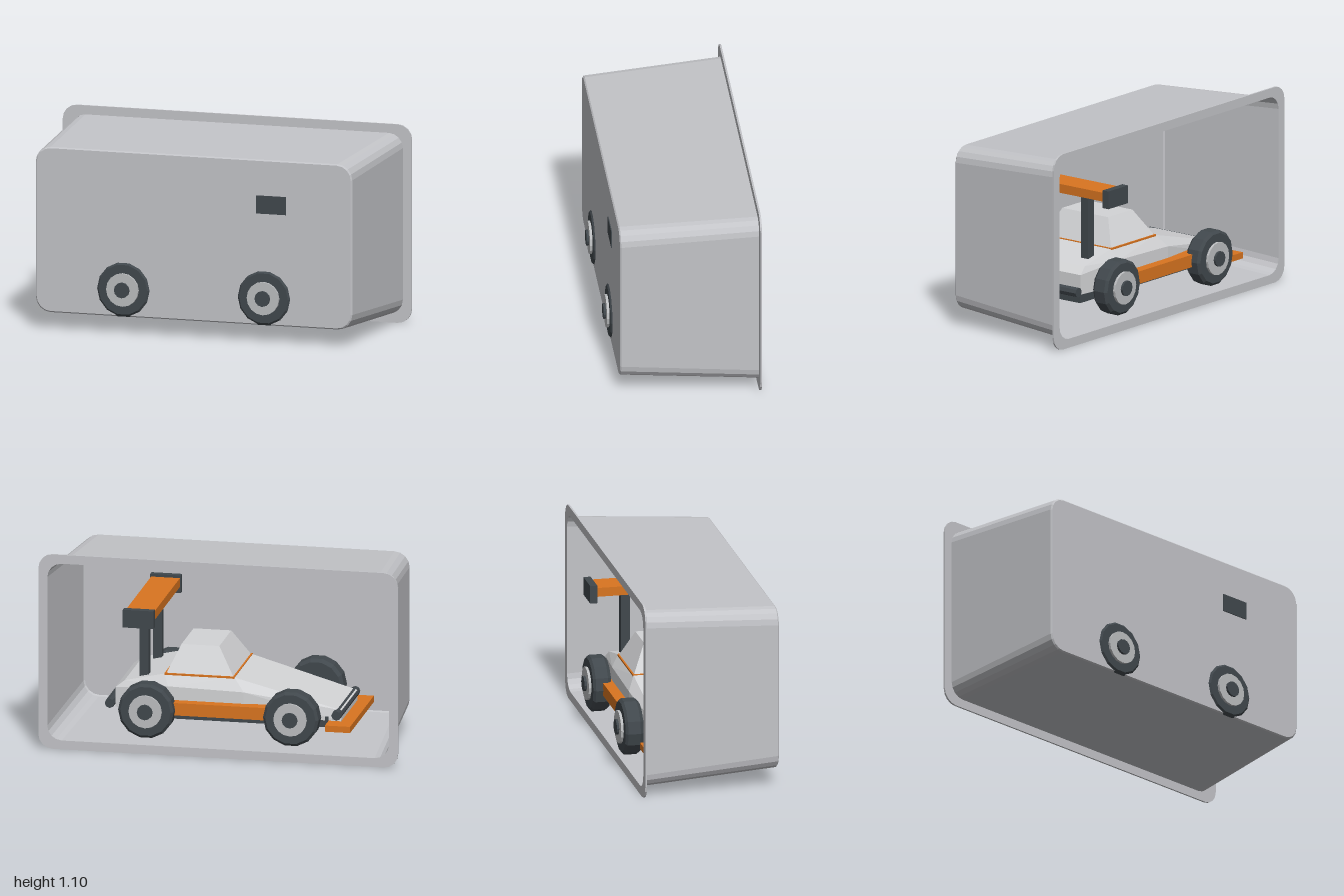
import * as THREE from 'three';
import { ConvexGeometry } from 'three/addons/geometries/ConvexGeometry.js';

const mat = (name, color, extra = {}) => {
  const m = new THREE.MeshStandardMaterial({ color, ...extra });
  m.name = name;
  return m;
};

export function createModel() {
  const model = new THREE.Group();
  const shellGrey = mat('shellGrey', 0xc3c4c8, { flatShading: true, side: THREE.DoubleSide });
  const bodyGrey = mat('bodyGrey', 0xd3d4d6, { flatShading: true });
  const hubGrey = mat('hubGrey', 0xbcbec0, { flatShading: true });
  const dark = mat('darkRubber', 0x41484d, { flatShading: true });
  const orange = mat('orange', 0xd97520, { flatShading: true });

  const add = (name, geometry, material, parent = model) => {
    const mesh = new THREE.Mesh(geometry, material);
    mesh.name = name;
    parent.add(mesh);
    return mesh;
  };
  // Box given by its limits on each axis
  const box = (name, [x0, x1], [y0, y1], [z0, z1], material) => {
    const mesh = add(name, new THREE.BoxGeometry(x1 - x0, y1 - y0, z1 - z0), material);
    mesh.position.set((x0 + x1) / 2, (y0 + y1) / 2, (z0 + z1) / 2);
    return mesh;
  };
  // Convex solid from points [x, y, z], mirrored across z
  const hull = (name, points, material) => {
    const all = points.flatMap(([x, y, z]) => [new THREE.Vector3(x, y, z), new THREE.Vector3(x, y, -z)]);
    return add(name, new ConvexGeometry(all), material);
  };
  // Rounded rectangle outline about (0, 0.55), counter-clockwise
  const outline = (hw, hh, r, seg = 4) => {
    const pts = [];
    [[1, 1], [-1, 1], [-1, -1], [1, -1]].forEach(([sx, sy], q) => {
      for (let i = 0; i <= seg; i++) {
        const a = (q + i / seg) * Math.PI / 2;
        pts.push(new THREE.Vector2(sx * (hw - r) + r * Math.cos(a), 0.55 + sy * (hh - r) + r * Math.sin(a)));
      }
    });
    return pts;
  };

  // Tapered tray, open at the back
  const rings = [
    [0.95, 0.5, 0.08, -0.38],
    [0.907, 0.458, 0.085, 0.376],
    [0.9, 0.451, 0.08, 0.383],
  ].map(([hw, hh, r, z]) => outline(hw, hh, r).map(p => new THREE.Vector3(p.x, p.y, z)));
  const n = rings[0].length;
  const tri = [];
  for (let k = 0; k < rings.length - 1; k++) {
    for (let i = 0; i < n; i++) {
      const j = (i + 1) % n;
      const [a, b, c, d] = [rings[k][i], rings[k][j], rings[k + 1][j], rings[k + 1][i]];
      tri.push(a, b, c, a, c, d);
    }
  }
  const wall = new THREE.BufferGeometry().setFromPoints(tri);
  wall.computeVertexNormals();
  add('trayWalls', wall, shellGrey);
  const panel = add('trayFrontPanel', new THREE.ShapeGeometry(new THREE.Shape(outline(0.9, 0.451, 0.08))), shellGrey);
  panel.position.z = 0.383;

  // Flat rim round the opening
  const rimShape = new THREE.Shape(outline(1, 0.55, 0.08));
  rimShape.holes.push(new THREE.Path(outline(0.95, 0.5, 0.08).reverse()));
  const rim = add('trayRim', new THREE.ExtrudeGeometry(rimShape, { depth: 0.01, bevelEnabled: false }), shellGrey);
  rim.position.z = -0.385;

  // Wedge body and cabin
  hull('body', [
    [0.6, 0.22, 0.25], [0.6, 0.33, 0.25], [0.55, 0.37, 0.24],
    [0.3, 0.22, 0.28], [0.3, 0.36, 0.28], [-0.12, 0.22, 0.28], [-0.12, 0.35, 0.28],
    [0.33, 0.42, 0.24], [-0.06, 0.42, 0.24],
    [-0.65, 0.2, 0.22], [-0.65, 0.26, 0.21],
  ], bodyGrey);
  box('cabinTrim', [-0.062, 0.328], [0.405, 0.424], [-0.244, 0.244], orange);
  hull('cabin', [
    [-0.055, 0.42, 0.237], [0.32, 0.42, 0.237], [0.04, 0.57, 0.16], [0.25, 0.57, 0.16],
  ], bodyGrey);

  // Chassis, skirts, splitter and bumpers
  box('chassis', [-0.58, 0.58], [0.165, 0.225], [-0.23, 0.23], dark);
  box('splitter', [-0.72, -0.58], [0.165, 0.2], [-0.32, 0.32], orange);
  for (const s of [-1, 1]) {
    box('sideSkirt', [-0.32, 0.32], [0.215, 0.285], s < 0 ? [-0.34, -0.26] : [0.26, 0.34], orange);
    const bumper = add('bumper', new THREE.CylinderGeometry(0.027, 0.027, 0.52, 8), dark);
    bumper.rotation.x = Math.PI / 2;
    bumper.position.set(s * 0.63, 0.24, 0);
  }

  // Rear wing with posts and end plates
  box('rearWing', [0.365, 0.525], [0.745, 0.795], [-0.36, 0.36], orange);
  for (const s of [-1, 1]) {
    const post = add('wingPost', new THREE.BoxGeometry(0.05, 0.4, 0.05), dark);
    post.position.set(0.45, 0.56, s * 0.177);
    const plate = add('wingEndPlate', new THREE.BoxGeometry(0.17, 0.1, 0.04), dark);
    plate.position.set(0.445, 0.76, s * 0.368);
  }

  // Wheels: chamfered tyre, rim disc, centre cap and axle
  const tyre = new THREE.LatheGeometry(
    [[0, 0.29], [0.138, 0.29], [0.155, 0.31], [0.155, 0.379], [0.14, 0.392], [0, 0.392]]
      .map(p => new THREE.Vector2(...p)), 14);
  tyre.rotateY(Math.PI / 2);
  for (const x of [-0.403, 0.403]) {
    for (const s of [-1, 1]) {
      const wheel = new THREE.Group();
      wheel.name = 'wheel';
      add('tyre', tyre, dark, wheel);
      add('wheelRim', new THREE.CylinderGeometry(0.092, 0.092, 0.05, 16), hubGrey, wheel).position.y = 0.381;
      add('wheelCap', new THREE.CylinderGeometry(0.043, 0.043, 0.05, 12), dark, wheel).position.y = 0.394;
      add('axle', new THREE.CylinderGeometry(0.03, 0.03, 0.31, 8), dark, wheel).position.y = 0.155;
      wheel.position.set(x, 0.243, 0);
      wheel.rotation.x = s * Math.PI / 2;
      model.add(wheel);
    }
  }
  return model;
}
